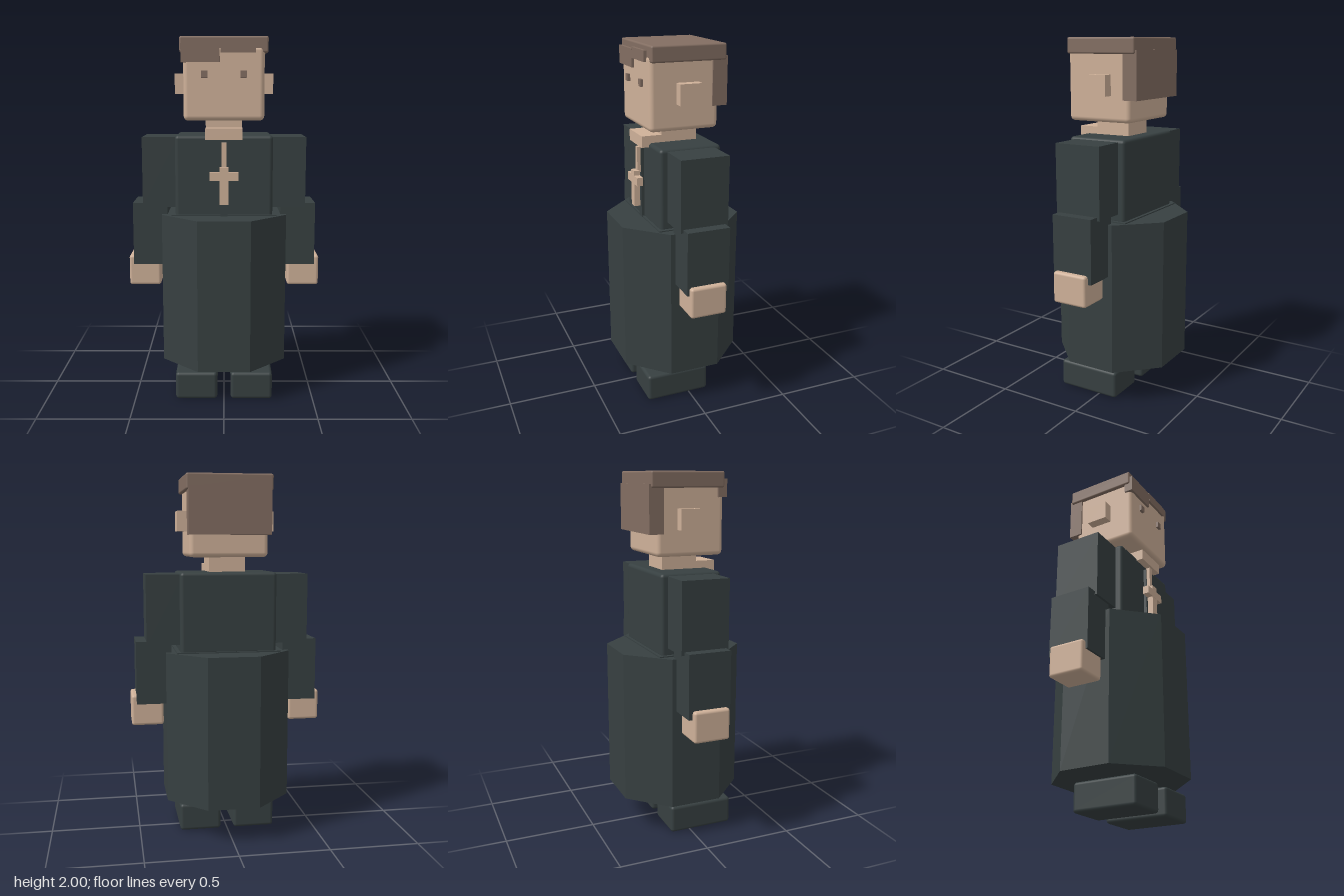
import * as THREE from 'three';
import { RoundedBoxGeometry } from 'three/addons/geometries/RoundedBoxGeometry.js';

export function createModel() {
  const model = new THREE.Group();
  model.name = 'robedFigure';

  const material = (name, color) => {
    const m = new THREE.MeshStandardMaterial({ color });
    m.name = name;
    return m;
  };
  const cloth = material('dark cloth', 0x374041);
  const skin = material('skin', 0xcfb199);
  const hair = material('brown hair', 0x836e62);

  // Box given by its min and max corners, with optional rounded edges
  function box(name, mat, [x0, x1], [y0, y1], [z0, z1], radius = 0) {
    const size = [x1 - x0, y1 - y0, z1 - z0];
    const geometry = radius
      ? new RoundedBoxGeometry(...size, 3, radius)
      : new THREE.BoxGeometry(...size);
    const mesh = new THREE.Mesh(geometry, mat);
    mesh.name = name;
    mesh.position.set((x0 + x1) / 2, (y0 + y1) / 2, (z0 + z1) / 2);
    model.add(mesh);
  }

  // The same box on both sides of the body
  function pair(name, mat, [x0, x1], y, z, radius) {
    box(name + 'Left', mat, [x0, x1], y, z, radius);
    box(name + 'Right', mat, [-x1, -x0], y, z, radius);
  }

  // Head and face
  box('head', skin, [-0.216, 0.216], [1.56, 1.95], [-0.175, 0.207], 0.025);
  pair('ear', skin, [0.2, 0.27], [1.7, 1.81], [-0.06, 0.063]);
  pair('eye', hair, [0.086, 0.12], [1.785, 1.822], [0.2, 0.222]);

  // Hair: cap, back panel and uneven fringe
  box('hairCap', hair, [-0.235, 0.235], [1.915, 2], [-0.21, 0.203], 0.01);
  box('hairBack', hair, [-0.225, 0.225], [1.68, 1.935], [-0.22, -0.138]);
  box('fringeRight', hair, [-0.228, -0.022], [1.865, 1.962], [0.17, 0.22]);
  box('fringeLeft', hair, [-0.018, 0.167], [1.915, 1.972], [0.17, 0.22]);

  // Neck and collar tab
  box('neck', skin, [-0.1, 0.1], [1.45, 1.58], [-0.1, 0.1]);
  box('collar', skin, [-0.1, 0.1], [1.458, 1.52], [0.05, 0.212]);

  // Torso, button strip and waist
  box('torso', cloth, [-0.267, 0.267], [1.03, 1.48], [-0.173, 0.173], 0.02);
  box('buttonStrip', cloth, [-0.02, 0.02], [1.03, 1.435], [0.16, 0.19]);
  box('waist', cloth, [-0.288, 0.288], [0.95, 1.046], [-0.19, 0.187]);

  // Pendant
  box('pendantChain', skin, [-0.014, 0.014], [1.3, 1.443], [0.185, 0.21]);
  box('pendantUpright', skin, [-0.025, 0.025], [1.11, 1.312], [0.2, 0.233]);
  box('pendantCrossbar', skin, [-0.077, 0.077], [1.24, 1.286], [0.2, 0.234]);

  // Arms
  pair('upperArm', cloth, [0.25, 0.45], [1.083, 1.468], [-0.135, 0.132]);
  pair('forearm', cloth, [0.314, 0.508], [0.753, 1.102], [-0.119, 0.118]);
  pair('hand', skin, [0.358, 0.536], [0.628, 0.8], [-0.098, 0.106], 0.015);

  // Eight-sided robe skirt with flat sides facing front and back
  const robeRadius = 0.345 / Math.cos(Math.PI / 8);
  const skirtGeometry = new THREE.CylinderGeometry(
    robeRadius, robeRadius, 0.84, 8, 1, false, Math.PI / 8
  ).toNonIndexed();
  skirtGeometry.computeVertexNormals();
  const skirt = new THREE.Mesh(skirtGeometry, cloth);
  skirt.name = 'robeSkirt';
  skirt.position.y = 0.62;
  model.add(skirt);

  // Shoes
  pair('shoe', cloth, [0.038, 0.271], [0, 0.156], [-0.115, 0.252], 0.018);

  return model;
}
